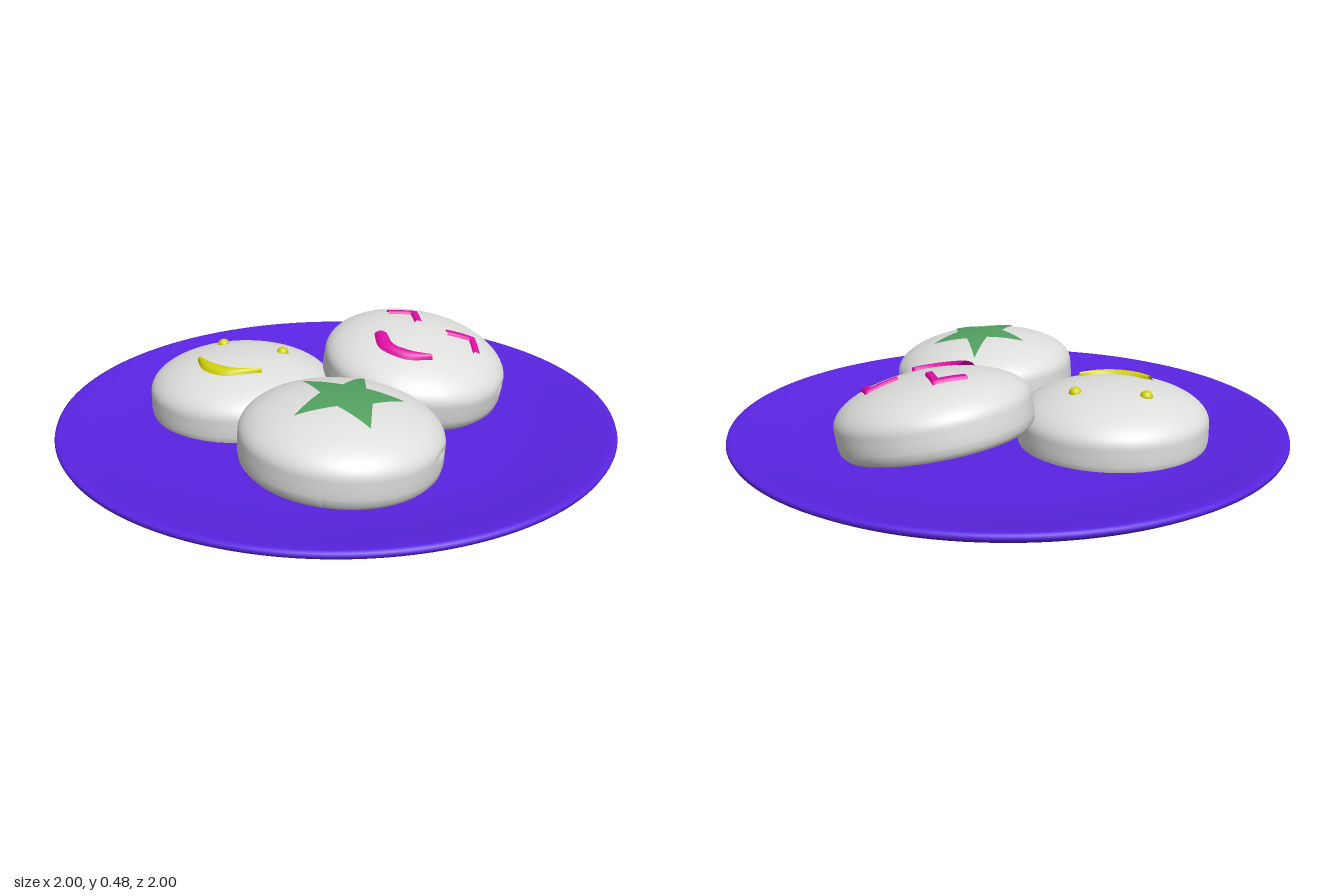
import * as THREE from 'three';

const mat = (name, color, side = THREE.FrontSide) => {
  const m = new THREE.MeshStandardMaterial({ color, side });
  m.name = name;
  return m;
};
const V = (x, y) => new THREE.Vector2(x, y);

const R = 0.34;      // bun radius
const DOME = 0.133;  // dome height above the bun's widest line
const domeY = (x, z) => DOME * Math.sqrt(Math.max(0, 1 - (x * x + z * z) / (R * R)));

export function createModel() {
  const violet = mat('violet glaze', 0x5a24e2);
  const white = mat('white dough', 0xdedfdd);
  const yellow = mat('yellow icing', 0xd2d00c, THREE.DoubleSide);
  const pink = mat('pink icing', 0xe00fa6, THREE.DoubleSide);
  const green = mat('green icing', 0x52a060, THREE.DoubleSide);

  const model = new THREE.Group();
  model.name = 'plateOfBuns';
  const add = (parent, name, geometry, material) => {
    const mesh = new THREE.Mesh(geometry, material);
    mesh.name = name;
    parent.add(mesh);
    return mesh;
  };

  // Plate: foot, flared underside, rounded lip, shallow dish
  const plate = [
    [0, 0.005], [0.47, 0.005], [0.48, 0], [0.505, 0.002], [0.522, 0.012], [0.53, 0.035], [0.545, 0.052],
    [0.57, 0.064], [0.66, 0.085], [0.78, 0.115], [0.9, 0.15], [0.97, 0.175], [0.995, 0.19],
    [1, 0.2], [0.997, 0.209], [0.985, 0.213], [0.965, 0.211], [0.92, 0.204], [0.85, 0.19],
    [0.78, 0.178], [0.7, 0.17], [0.62, 0.167], [0, 0.167],
  ].map(([x, y]) => V(x, y));
  add(model, 'plate', new THREE.LatheGeometry(plate, 128), violet);

  // Bun: short wall, elliptical dome, and a small pinch in one side
  const profile = [[0, -0.11], [0.29, -0.11], [0.32, -0.103], [0.335, -0.085], [R, -0.06], [R, -0.03],
    [R, -0.02], [R, -0.01]].map(([x, y]) => V(x, y));
  for (let i = 0; i <= 24; i++) {
    const a = (i / 24) * Math.PI / 2;
    profile.push(V(i === 24 ? 0 : R * Math.cos(a), DOME * Math.sin(a)));
  }
  const bunGeometry = new THREE.LatheGeometry(profile, 128);
  const pos = bunGeometry.attributes.position;
  for (let i = 0; i < pos.count; i++) {
    const x = pos.getX(i), y = pos.getY(i), z = pos.getZ(i);
    if (x > 0.2) {
      const d = ((z - 0.06) / 0.035) ** 2 + (y / 0.009) ** 2;
      pos.setX(i, x - 0.012 * Math.exp(-d));
    }
  }
  bunGeometry.computeVertexNormals();

  // Buns pivot at the centre of their widest line; lean is the tilt of the up axis
  const makeBun = (name, [x, y, z], [leanX, leanZ]) => {
    const bun = new THREE.Group();
    bun.name = name;
    bun.position.set(x, y, z);
    bun.quaternion.setFromUnitVectors(
      new THREE.Vector3(0, 1, 0), new THREE.Vector3(leanX, 1, leanZ).normalize());
    add(bun, name + 'Body', bunGeometry, white);
    model.add(bun);
    return bun;
  };

  // Lays a patch over the dome: at(u, v) gives x and z, lift(v) the height
  const drape = (nu, nv, at, lift) => {
    const g = new THREE.PlaneGeometry(1, 1, nu, nv);
    const p = g.attributes.position;
    for (let i = 0; i < p.count; i++) {
      const v = p.getY(i) + 0.5;
      const q = at(p.getX(i) + 0.5, v);
      p.setXYZ(i, q.x, domeY(q.x, q.y) + lift(v), q.y);
    }
    g.computeVertexNormals();
    return g;
  };

  // Smile: rounded band between an outer and an inner curve
  const smile = (outer, inner) => {
    const a = new THREE.SplineCurve(outer.map(([x, z]) => V(x, z)));
    const b = new THREE.SplineCurve(inner.map(([x, z]) => V(x, z)));
    return drape(32, 8, (u, v) => a.getPoint(u).lerp(b.getPoint(u), v),
      (v) => -0.004 + 0.02 * Math.sqrt(Math.max(0, Math.sin(Math.PI * v))));
  };

  // Outline walker with straight edges
  const along = (points, u) => {
    const t = u * (points.length - 1);
    const i = Math.min(Math.floor(t + 1e-6), points.length - 2);
    return V(...points[i]).lerp(V(...points[i + 1]), t - i);
  };

  // Bun with round eyes and a yellow smile
  const roundEyed = makeBun('roundEyedBun', [-0.37, 0.247, -0.09], [0, 0]);
  [[-0.1, -0.12], [0.14, -0.07]].forEach(([x, z], i) => {
    const eye = add(roundEyed, i ? 'leftEye' : 'rightEye', new THREE.SphereGeometry(0.023, 20, 14), yellow);
    eye.position.set(x, domeY(x, z) - 0.004, z);
  });
  add(roundEyed, 'yellowSmile', smile(
    [[-0.15, 0.07], [-0.105, 0.15], [-0.015, 0.187], [0.11, 0.14]],
    [[-0.13, 0.068], [-0.07, 0.11], [0.01, 0.14], [0.105, 0.133]]), yellow);

  // Leaning bun with angled eyes and a pink smile
  const squinting = makeBun('squintingBun', [0.26, 0.33, -0.24], [0.17, 0.11]);
  const eyeOuter = [[-0.145, -0.14], [-0.03, -0.175], [0, -0.06]];
  const eyeInner = [[-0.135, -0.108], [-0.052, -0.132], [-0.03, -0.05]];
  for (const [name, dx, dz] of [['rightSquint', 0, 0], ['leftSquint', 0.235, 0.098]]) {
    add(squinting, name, drape(16, 6,
      (u, v) => along(eyeOuter, u).lerp(along(eyeInner, u), v).add(V(dx, dz)),
      (v) => (v < 0.01 || v > 0.99 ? -0.002 : 0.009)), pink);
  }
  add(squinting, 'pinkSmile', smile(
    [[-0.165, 0.075], [-0.13, 0.165], [-0.03, 0.208], [0.065, 0.178]],
    [[-0.112, 0.08], [-0.078, 0.14], [-0.015, 0.16], [0.05, 0.162]]), pink);

  // Bun with a green star
  const starred = makeBun('starBun', [0.085, 0.31, 0.4], [0.07, 0.01]);
  const star = [[0.03, -0.25], [0.058, -0.085], [0.19, -0.062], [0.095, 0.03], [0.11, 0.17],
    [-0.01, 0.085], [-0.135, 0.15], [-0.08, 0.0], [-0.16, -0.12], [-0.02, -0.09], [0.03, -0.25]];
  add(starred, 'greenStar', drape(60, 12,
    (u, v) => along(star, u).lerp(V(0.005, -0.01), v),
    () => 0.004), green);

  return model;
}
